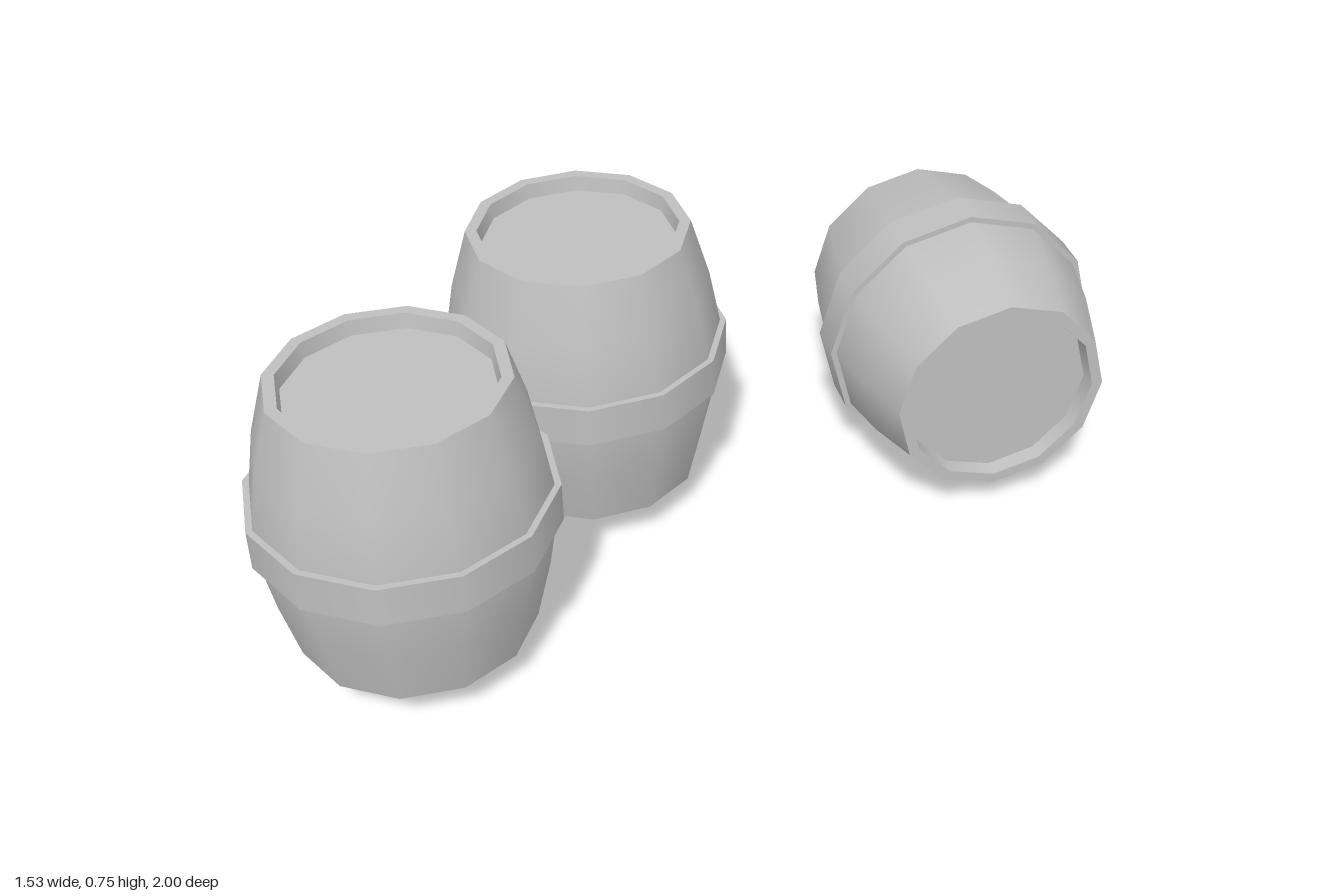
import * as THREE from 'three';

const SIDES = 12;
const grey = new THREE.MeshStandardMaterial({ color: 0xbfbfbf });
grey.name = 'barrel grey';

// Revolve a list of [radius, height] points, ordered so the surface faces outward
function revolve(name, points) {
  const profile = points.map(([r, y]) => new THREE.Vector2(r, y));
  const mesh = new THREE.Mesh(new THREE.LatheGeometry(profile, SIDES), grey);
  mesh.name = name;
  return mesh;
}

// One barrel, centred on its own middle with the open rim towards +y.
// Each hard edge is a break between two revolved pieces.
function barrel(name) {
  const group = new THREE.Group();
  group.name = name;
  const pieces = {
    bottom: [[0, -0.32], [0.264, -0.32]],
    staves: [[0.264, -0.32], [0.298, -0.175], [0.32, -0.045], [0.32, 0.045], [0.295, 0.18], [0.254, 0.32]],
    rim: [[0.254, 0.32], [0.228, 0.32]],
    rimInside: [[0.228, 0.32], [0.222, 0.285]],
    lid: [[0.222, 0.285], [0, 0.285]],
    hoopUnderside: [[0.315, -0.047], [0.334, -0.047]],
    hoop: [[0.334, -0.047], [0.334, 0.047]],
    hoopTop: [[0.334, 0.047], [0.315, 0.047]],
  };
  for (const [part, points] of Object.entries(pieces)) group.add(revolve(part, points));
  return group;
}

export function createModel() {
  const model = new THREE.Group();
  model.name = 'barrels';

  // Two upright barrels
  const middle = barrel('middleBarrel');
  middle.position.set(-0.362, 0.432, -0.007);

  const front = barrel('frontBarrel');
  front.position.set(-0.433, 0.432, 0.664);
  front.rotation.y = -0.11;

  // Barrel lying on its side, resting on its hoop
  const lying = barrel('lyingBarrel');
  lying.position.set(0.361, 0.335, -0.586);
  lying.rotation.set(Math.PI / 2, 0.686, 0, 'YXZ');

  model.add(middle, front, lying);
  return model;
}
